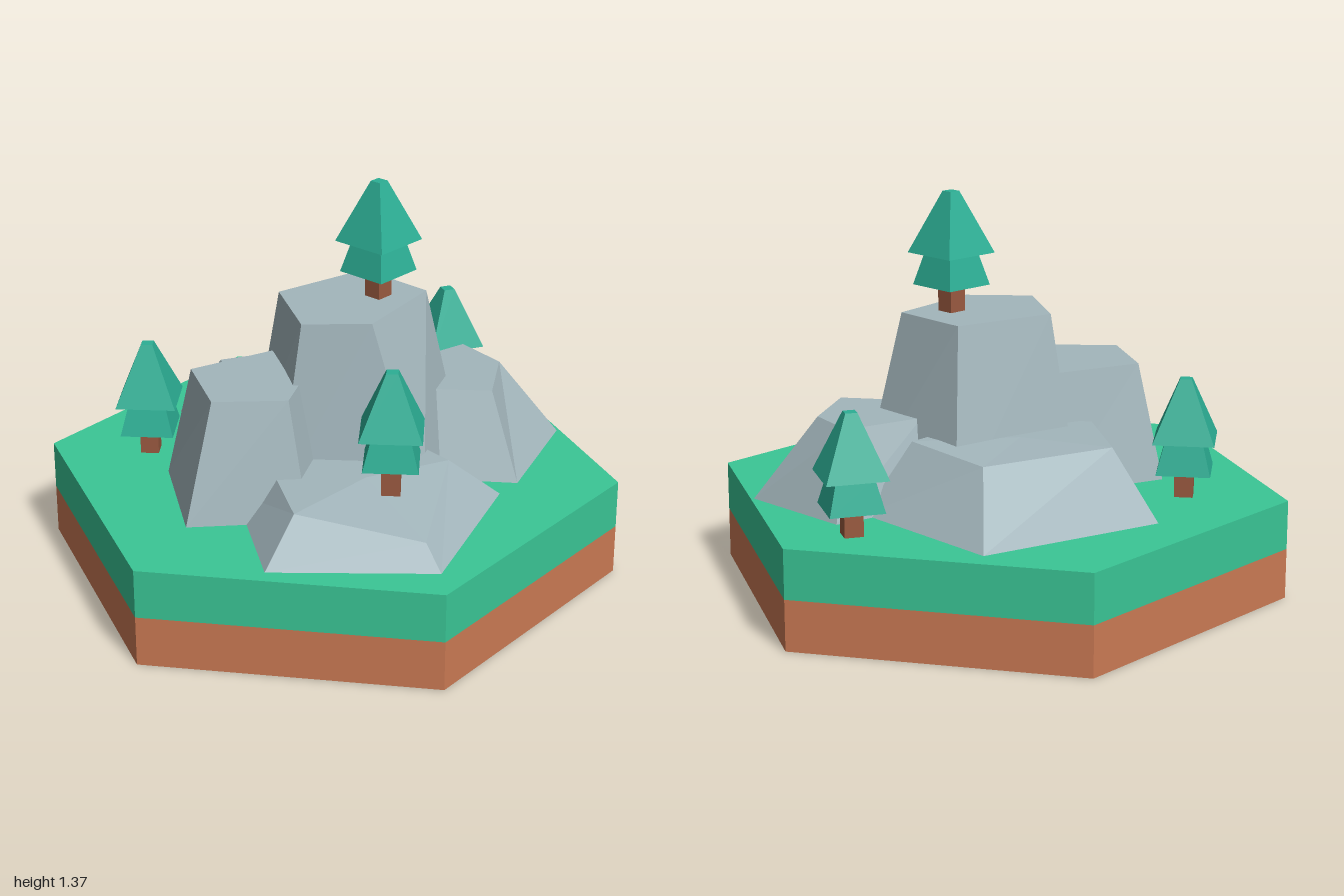
import * as THREE from 'three';

const mat = (color) => new THREE.MeshStandardMaterial({ color, flatShading: true });
const MATS = {
  grass: mat(0x3ac696), dirt: mat(0xcb7a54), rock: mat(0xa3b6bc),
  bark: mat(0x9a5a40), leaf: mat(0x2cae94),
};
const GROUND = 0.345;

function prism(name, material, sides, rTop, rBottom, y0, y1) {
  const mesh = new THREE.Mesh(new THREE.CylinderGeometry(rTop, rBottom, y1 - y0, sides), material);
  mesh.position.y = (y0 + y1) / 2;
  mesh.name = name;
  return mesh;
}

// Rock: base ring [x, z] lofted to a top ring [x, z, optional y], capped by a fan.
// Rings run counter-clockwise seen from above.
function rock(name, height, base, top) {
  const b = base.map(([x, z]) => [x, GROUND, z]);
  const t = top.map(([x, z, y = height]) => [x, y, z]);
  const n = t.length;
  const mid = [0, 2].map((k) => t.reduce((s, p) => s + p[k], 0) / n);
  const centre = [mid[0], height, mid[1]];
  const pos = [];
  for (let i = 0; i < n; i++) {
    const j = (i + 1) % n;
    pos.push(...b[i], ...b[j], ...t[j], ...b[i], ...t[j], ...t[i], ...t[i], ...t[j], ...centre);
  }
  const geo = new THREE.BufferGeometry();
  geo.setAttribute('position', new THREE.Float32BufferAttribute(pos, 3));
  geo.computeVertexNormals();
  const mesh = new THREE.Mesh(geo, MATS.rock);
  mesh.name = name;
  return mesh;
}

// Tree: square trunk and two tapered square tiers
function tree(name, x, y, z, leafY, turn) {
  const g = new THREE.Group();
  g.name = name;
  g.add(
    prism('trunk', MATS.bark, 4, 0.045, 0.045, y - 0.01, leafY + 0.02),
    prism('lowerFoliage', MATS.leaf, 4, 0.09, 0.13, leafY, leafY + 0.11),
    prism('upperFoliage', MATS.leaf, 4, 0.028, 0.147, leafY + 0.11, leafY + 0.32),
  );
  g.position.set(x, 0, z);
  g.rotation.y = THREE.MathUtils.degToRad(turn);
  return g;
}

export function createModel() {
  const model = new THREE.Group();
  model.name = 'rockyHillTile';

  // Hexagonal ground
  model.add(
    prism('dirtLayer', MATS.dirt, 6, 1, 1, 0, 0.175),
    prism('grassLayer', MATS.grass, 6, 1, 1, 0.175, GROUND),
  );

  // Rocks
  model.add(
    rock('centreRock', 0.96,
      [[-0.27, 0.2], [0.18, 0.41], [0.48, 0.05], [0.26, -0.36], [-0.21, -0.23]],
      [[-0.17, 0.17], [0.05, 0.25], [0.335, 0.04], [0.21, -0.22], [-0.14, -0.13]]),
    rock('rightSideRock', 0.75,
      [[-0.62, 0.28], [-0.23, 0.39], [-0.08, 0.18], [-0.14, -0.2], [-0.55, -0.14]],
      [[-0.5, 0.21], [-0.26, 0.29], [-0.16, 0.15], [-0.17, -0.12], [-0.48, -0.07]]),
    rock('leftSideRock', 0.63,
      [[0.27, 0.24], [0.54, 0.38], [0.855, 0.05], [0.65, -0.31], [0.29, -0.2]],
      [[0.3, 0.12], [0.51, 0.22], [0.64, 0], [0.585, -0.19], [0.31, -0.12]]),
    rock('frontRock', 0.49,
      [[-0.48, 0.66], [0.04, 0.87], [0.45, 0.43], [0.22, 0.08], [-0.39, 0.1]],
      [[-0.35, 0.58], [0.02, 0.79, 0.42], [0.27, 0.4], [0.18, 0.15], [-0.3, 0.18]]),
    rock('backRock', 0.58,
      [[-0.43, -0.16], [0, 0.05], [0.54, -0.23], [0.28, -0.75], [-0.36, -0.6]],
      [[-0.28, -0.16], [0, 0], [0.37, -0.22], [0.21, -0.51, 0.56], [-0.24, -0.48]]),
  );

  // Trees
  model.add(
    tree('summitTree', 0.165, 0.95, 0.02, 1.05, -18),
    tree('frontTree', 0.015, 0.48, 0.51, 0.58, 20),
    tree('backRightTree', -0.555, GROUND, -0.33, 0.435, 20),
    tree('backLeftTree', 0.625, GROUND, -0.425, 0.435, 45),
  );
  return model;
}
